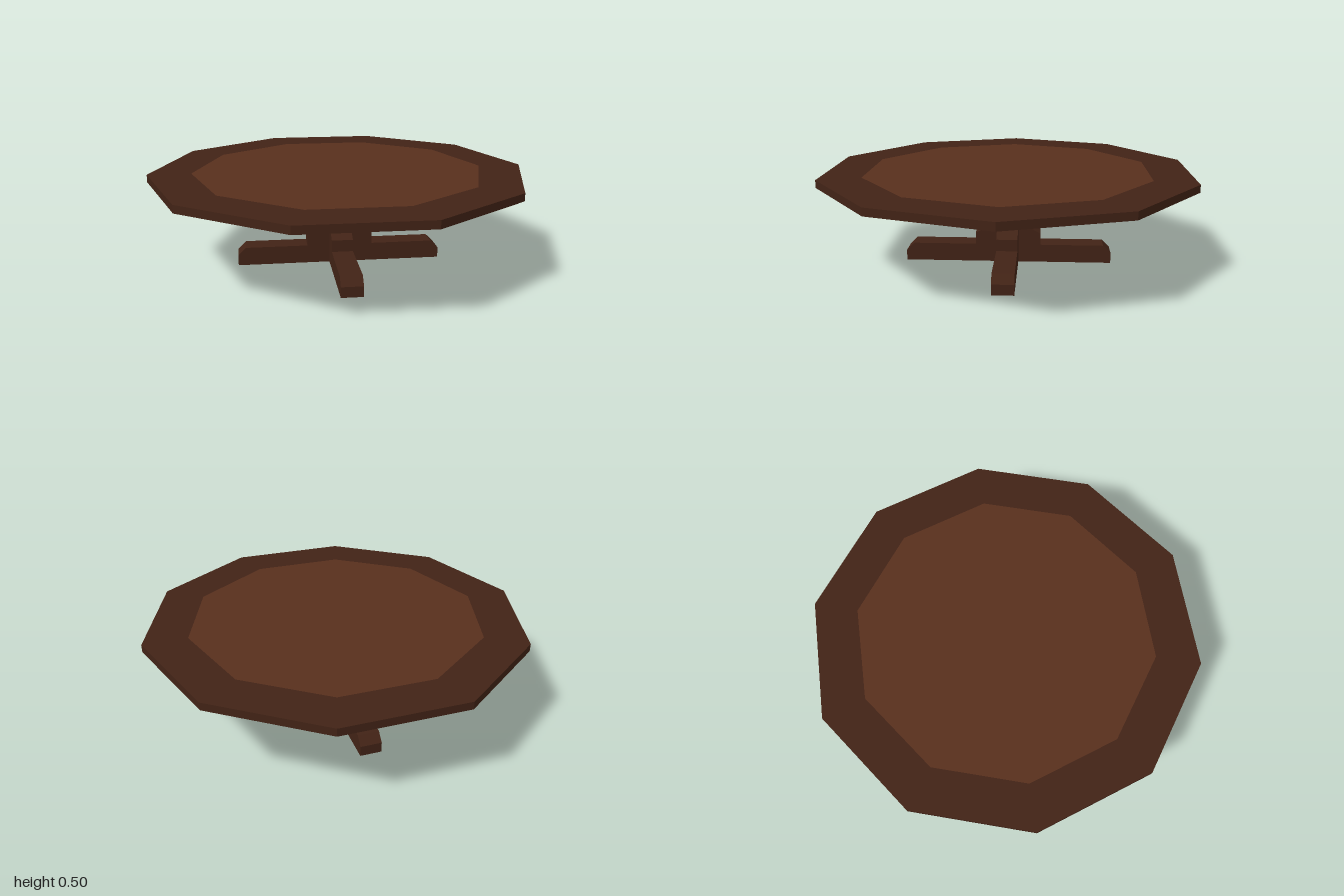
import * as THREE from 'three';
import { mergeGeometries } from 'three/addons/utils/BufferGeometryUtils.js';

const HALF = 0.056; // half thickness of post, legs and arms

const wood = (color) => new THREE.MeshStandardMaterial({ color, flatShading: true, side: THREE.DoubleSide });

// Leg running along +x, open underneath: two side panels and a strip over the profile
function legGeometry(reach) {
  const profile = [
    [HALF, 0.225], [0.175, 0.16], [0.175, 0.097], [reach - 0.042, 0.097], [reach, 0.055], [reach, 0],
  ];
  const outline = [[HALF, 0], ...profile];
  const panels = [1, -1].map((s) => {
    const shape = new THREE.Shape(outline.map(([x, y]) => new THREE.Vector2(x * s, y)));
    const panel = new THREE.ShapeGeometry(shape).translate(0, 0, HALF);
    return s < 0 ? panel.rotateY(Math.PI) : panel;
  });
  const strip = new THREE.PlaneGeometry(1, 1, profile.length - 1, 1);
  const pos = strip.attributes.position;
  for (let i = 0; i < pos.count; i++) {
    const [x, y] = profile[i % profile.length];
    pos.setXYZ(i, x, y, i < profile.length ? -HALF : HALF);
  }
  return mergeGeometries([...panels, strip]);
}

export function createModel() {
  const group = new THREE.Group();
  const dark = wood(0x422316);
  const light = wood(0x58301d);

  const add = (name, geometry, material, parent = group) => {
    const mesh = new THREE.Mesh(geometry, material);
    mesh.name = name;
    parent.add(mesh);
    return mesh;
  };

  // Ten-sided tabletop with a lighter flush centre
  const top = new THREE.Group();
  top.name = 'tabletop';
  group.add(top);
  const edge = new THREE.CylinderGeometry(1, 1, 0.04, 10, 1, true, Math.PI / 2);
  add('tabletopEdge', edge.translate(0, 0.48, 0), dark, top);
  add('tabletopBorder', new THREE.RingGeometry(0.773, 1, 10).rotateX(-Math.PI / 2).translate(0, 0.5, 0), dark, top);
  add('tabletopCentre', new THREE.CircleGeometry(0.773, 10).rotateX(-Math.PI / 2).translate(0, 0.5, 0), light, top);
  add('tabletopUnderside', new THREE.CircleGeometry(1, 10).rotateX(Math.PI / 2).translate(0, 0.46, 0), dark, top);

  // Square post
  const post = new THREE.CylinderGeometry(HALF * Math.SQRT2, HALF * Math.SQRT2, 0.452, 4, 1, true, Math.PI / 4);
  add('post', post.translate(0, 0.226, 0), dark);

  // Four legs and four support arms in a cross
  for (let i = 0; i < 4; i++) {
    const alongZ = i % 2 === 1;
    const leg = add('leg', legGeometry(alongZ ? 0.555 : 0.547), dark);
    const length = (alongZ ? 0.672 : 0.658) - HALF;
    const arm = add('supportArm', new THREE.BoxGeometry(length, 0.052, HALF * 2).translate(HALF + length / 2, 0.426, 0), dark);
    leg.rotation.y = arm.rotation.y = (i * Math.PI) / 2;
  }
  return group;
}
